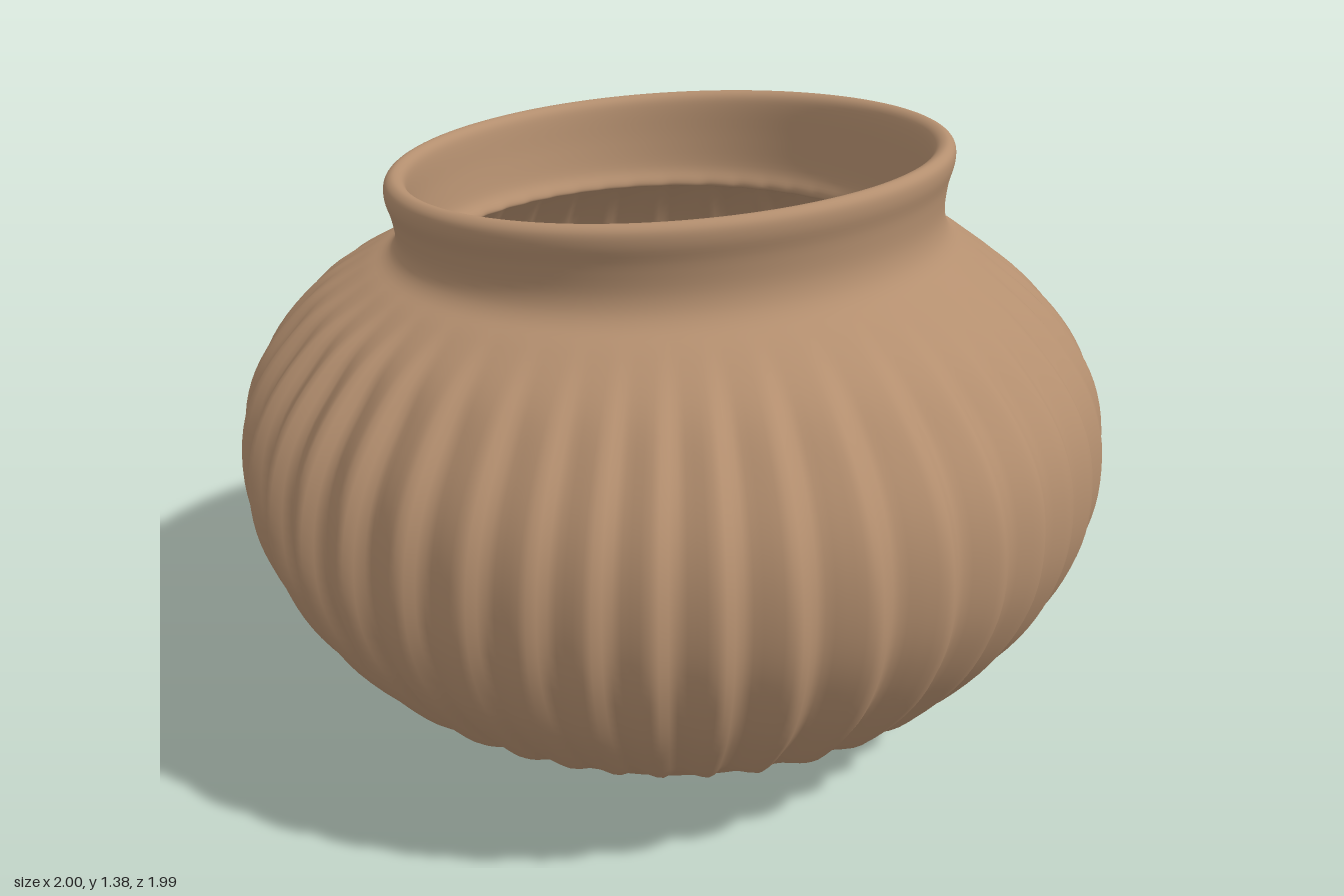
import * as THREE from 'three';
import { mergeVertices } from 'three/addons/utils/BufferGeometryUtils.js';

const RIBS = 44;
const smooth = THREE.MathUtils.smoothstep;

// Shallow bowl of the underside
const floorY = (r) => 0.25 * r * r;

// Smooth a list of [radius, height] points into a lathe profile
function profile(points, n) {
  return new THREE.SplineCurve(points.map(([r, y]) => new THREE.Vector2(r, y))).getPoints(n);
}

// Spin a profile, then bend it: ribs on the belly, tilt and wobble on the neck
function pottery(points, segments) {
  let geo = new THREE.LatheGeometry(points, segments);
  geo.deleteAttribute('normal');
  geo.deleteAttribute('uv');
  const p = geo.attributes.position;
  for (let i = 0; i < p.count; i++) {
    const x = p.getX(i), y = p.getY(i), z = p.getZ(i);
    const a = Math.atan2(z, x), r = Math.hypot(x, z);
    const belly = smooth(y, 0.09, 0.2) * (1 - smooth(y, 0.95, 1.14));
    const phase = RIBS * a + 1.1 * Math.sin(3 * a + 0.5) + 0.6 * Math.sin(7 * a)
      + 0.35 * Math.sin(4 * y + 5 * a);
    const rib = Math.sin(phase + 0.45 * Math.sin(phase)) * (0.014 + 0.004 * Math.sin(5 * a + 1));
    const dent = 0.004 * Math.sin(3 * a + 5 * y) * smooth(y, 0.1, 0.4);
    const k = r > 0 ? 1 + (rib * belly + dent - 0.008 * belly) / r : 1;
    const neck = smooth(y, 1.0, 1.3);
    p.setXYZ(i, x * k - 0.01 * neck, y + neck * (0.06 * x + 0.025 * z), z * k * 0.995 - 0.014 * neck);
  }
  geo = mergeVertices(geo, 1e-4);
  geo.computeVertexNormals();
  return geo;
}

// Flat blotch with a closed outline, draped on the floor at a small offset
function blotch(outline, cx, cz, offset) {
  const geo = new THREE.RingGeometry(0, 1, 64, 10);
  const p = geo.attributes.position;
  for (let i = 0; i < p.count; i++) {
    const t = Math.hypot(p.getX(i), p.getY(i));
    const u = (Math.atan2(p.getY(i), p.getX(i)) / (2 * Math.PI) + 1) % 1;
    const e = outline(u);
    const x = cx + t * (e.x - cx), z = cz + t * (e.z - cz);
    p.setXYZ(i, x, floorY(Math.hypot(x, z)) + offset, z);
  }
  geo.computeVertexNormals();
  return geo;
}

export function createModel() {
  const clay = new THREE.MeshStandardMaterial({ color: 0xb48f6f, side: THREE.DoubleSide });
  clay.name = 'tan clay';
  const grey = new THREE.MeshStandardMaterial({ color: 0xcccccc, side: THREE.DoubleSide });
  grey.name = 'light grey patch';

  const group = new THREE.Group();
  const add = (name, geo, mat) => {
    const mesh = new THREE.Mesh(geo, mat);
    mesh.name = name;
    group.add(mesh);
  };

  // Rounded underside, also seen as the floor inside
  const base = [];
  for (let i = 0; i <= 14; i++) base.push(new THREE.Vector2(0.6 * i / 14, floorY(0.6 * i / 14)));

  // Ribbed belly and shoulder, up to the neck, over the lip and down inside it
  const wall = profile([
    [0.6, 0.09], [0.66, 0.135], [0.77, 0.215], [0.9, 0.37], [0.97, 0.51], [0.995, 0.64],
    [0.98, 0.78], [0.925, 0.9], [0.82, 1.02], [0.7, 1.105], [0.635, 1.145], [0.613, 1.19],
    [0.618, 1.25], [0.63, 1.295], [0.628, 1.325], [0.61, 1.338], [0.588, 1.328],
    [0.578, 1.295], [0.572, 1.22], [0.565, 1.15], [0.55, 1.115], [0.555, 1.1], [0.58, 1.1],
  ], 100);
  add('ribbedPot', pottery(base.concat(wall.slice(1)), RIBS * 8), clay);

  // Pale patch showing on both faces of the floor
  const edge = new THREE.CatmullRomCurve3([
    [0.03, -0.55], [0.06, -0.48], [0.13, -0.44], [0.14, -0.36], [0.11, -0.3], [0, -0.2],
    [-0.17, -0.08], [-0.24, -0.04], [-0.31, -0.06], [-0.33, -0.12], [-0.29, -0.19],
    [-0.17, -0.3], [-0.06, -0.41], [-0.02, -0.46], [-0.005, -0.53],
  ].map(([x, z]) => new THREE.Vector3(x, 0, z)), true);
  const patchEdge = (u) => edge.getPoint(u);
  add('floorPatchInside', blotch(patchEdge, -0.06, -0.27, 0.005), grey);
  add('floorPatchUnder', blotch(patchEdge, -0.06, -0.27, -0.005), grey);

  // Two small spots near the edge of the underside
  for (const [x, z, r] of [[-0.06, -0.575, 0.035], [-0.2, -0.55, 0.018]]) {
    const circle = (u) => ({ x: x + r * Math.cos(u * 2 * Math.PI), z: z + r * Math.sin(u * 2 * Math.PI) });
    for (const side of [-1, 1]) add('floorSpot', blotch(circle, x, z, side * 0.005), grey);
  }
  return group;
}
